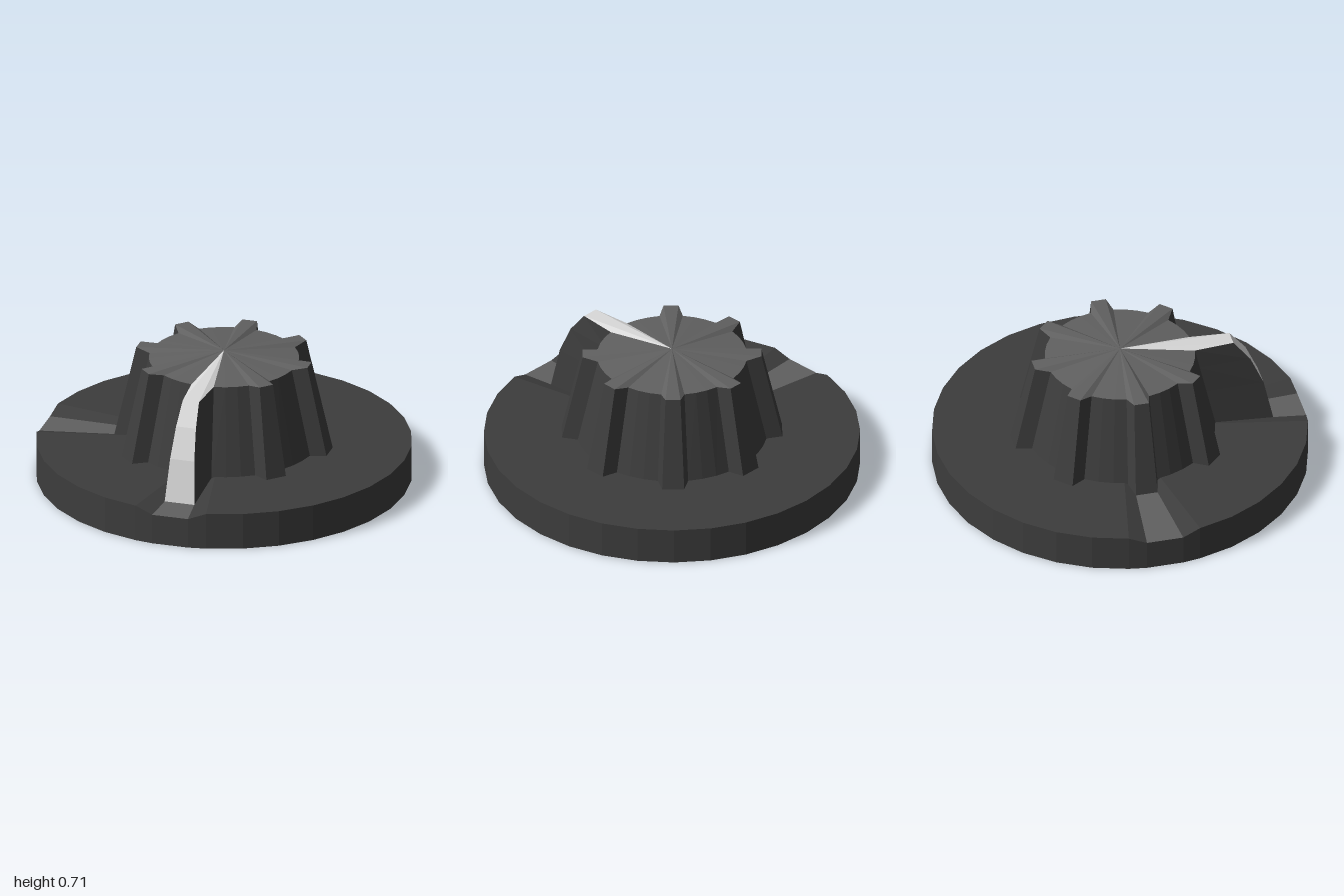
import * as THREE from 'three';

const flat = (name, color) => {
  const m = new THREE.MeshStandardMaterial({ color });
  m.name = name;
  return m;
};

// Flat-faced mesh from convex polygons (corners counter-clockwise from outside)
function faceMesh(name, polys, material) {
  const pos = [];
  for (const p of polys) {
    for (let i = 1; i < p.length - 1; i++) pos.push(...p[0], ...p[i], ...p[i + 1]);
  }
  const g = new THREE.BufferGeometry();
  g.setAttribute('position', new THREE.Float32BufferAttribute(pos, 3));
  g.computeVertexNormals();
  const mesh = new THREE.Mesh(g, material);
  mesh.name = name;
  return mesh;
}

// Point at distance d along heading a (0 = front), shifted sideways by s
const at = (a, d, s, y) => [
  s * Math.cos(a) + d * Math.sin(a), y, -s * Math.sin(a) + d * Math.cos(a),
];
const DEG = Math.PI / 180;

export function createModel() {
  const dark = flat('dark plastic', 0x3d3d3d);
  const grey = flat('grey plastic', 0x606060);
  const white = flat('pointer white', 0xd9d9d9);
  const model = new THREE.Group();
  model.name = 'controlKnob';

  // Base disc: 32 sides, with a shallow notch at the front and at -x
  const rim = [];
  for (let i = 0; i < 32; i++) {
    const deg = i * 11.25;
    if (i === 0 || i === 24) {
      rim.push({ a: (deg - 5.7) * DEG, y: 0.165 }, { a: (deg + 5.7) * DEG, y: 0.165 });
    } else rim.push({ a: deg * DEG, y: 0.2 });
  }
  const discFaces = [], grooveFaces = [], underside = [];
  rim.forEach((p, i) => {
    const q = rim[(i + 1) % rim.length];
    const b0 = at(p.a, 1, 0, 0), b1 = at(q.a, 1, 0, 0);
    const t0 = at(p.a, 1, 0, p.y), t1 = at(q.a, 1, 0, q.y);
    discFaces.push([b0, b1, t1, t0]);
    const isFloor = p.y < 0.2 && q.y < 0.2;
    (isFloor ? grooveFaces : discFaces).push([[0, 0.2, 0], t0, t1]);
    underside.unshift(b0);
  });
  discFaces.push(underside);
  model.add(faceMesh('baseDisc', discFaces, dark));
  model.add(faceMesh('grooveFloors', grooveFaces, grey));

  // Knob outline: tapered body with seven grip ridges, gap at the front
  const loop = []; // pairs of top and bottom points
  const add = (a, dTop, sTop, yTop, dLow, sLow) => loop.push({
    top: at(a, dTop, sTop, yTop), low: at(a, dLow, sLow, 0.16),
  });
  for (let k = 0; k < 8; k++) {
    const a = k * 45 * DEG;
    if (k > 0) {
      add(a, 0.395, -0.062, 0.675, 0.51, -0.082);
      add(a, 0.475, -0.04, 0.69, 0.595, -0.06);
      add(a, 0.475, 0.04, 0.69, 0.595, 0.06);
    }
    add(a, 0.395, 0.062, 0.675, 0.51, 0.082);
    for (const step of [18, 27]) add(a + step * DEG, 0.4, 0, 0.675, 0.516, 0);
  }
  add(0, 0.395, -0.062, 0.675, 0.51, -0.082);

  const peak = [0, 0.715, 0];
  const walls = [], cap = [];
  for (let i = 0; i < loop.length - 1; i++) {
    const p = loop[i], q = loop[i + 1];
    walls.push([p.low, q.low, q.top, p.top]);
    cap.push([peak, p.top, q.top]);
  }
  model.add(faceMesh('knobBody', walls, dark));
  model.add(faceMesh('knobCap', cap, grey));

  // Pointer fin: curved white front edge with dark side walls
  const profile = [ // distance, height, half width
    [0.61, 0.675, 0.045], [0.7, 0.56, 0.055], [0.77, 0.4, 0.067], [0.82, 0.165, 0.083],
  ];
  const outer = (i, side) => at(0, profile[i][0], side * profile[i][2], profile[i][1]);
  const inner = (i, side) => {
    const t = (0.675 - profile[i][1]) / 0.515;
    return at(0, 0.395 + 0.115 * t, side * (0.062 + 0.02 * t), profile[i][1]);
  };
  const sides = [];
  const stripe = [[peak, inner(0, -1), outer(0, -1), outer(0, 1), inner(0, 1)]];
  for (let i = 0; i < profile.length - 1; i++) {
    stripe.push([outer(i, -1), outer(i + 1, -1), outer(i + 1, 1), outer(i, 1)]);
    sides.push([outer(i, 1), outer(i + 1, 1), inner(i + 1, 1), inner(i, 1)]);
    sides.push([inner(i, -1), inner(i + 1, -1), outer(i + 1, -1), outer(i, -1)]);
  }
  model.add(faceMesh('pointerSides', sides, dark));
  model.add(faceMesh('pointerStripe', stripe, white));
  return model;
}
